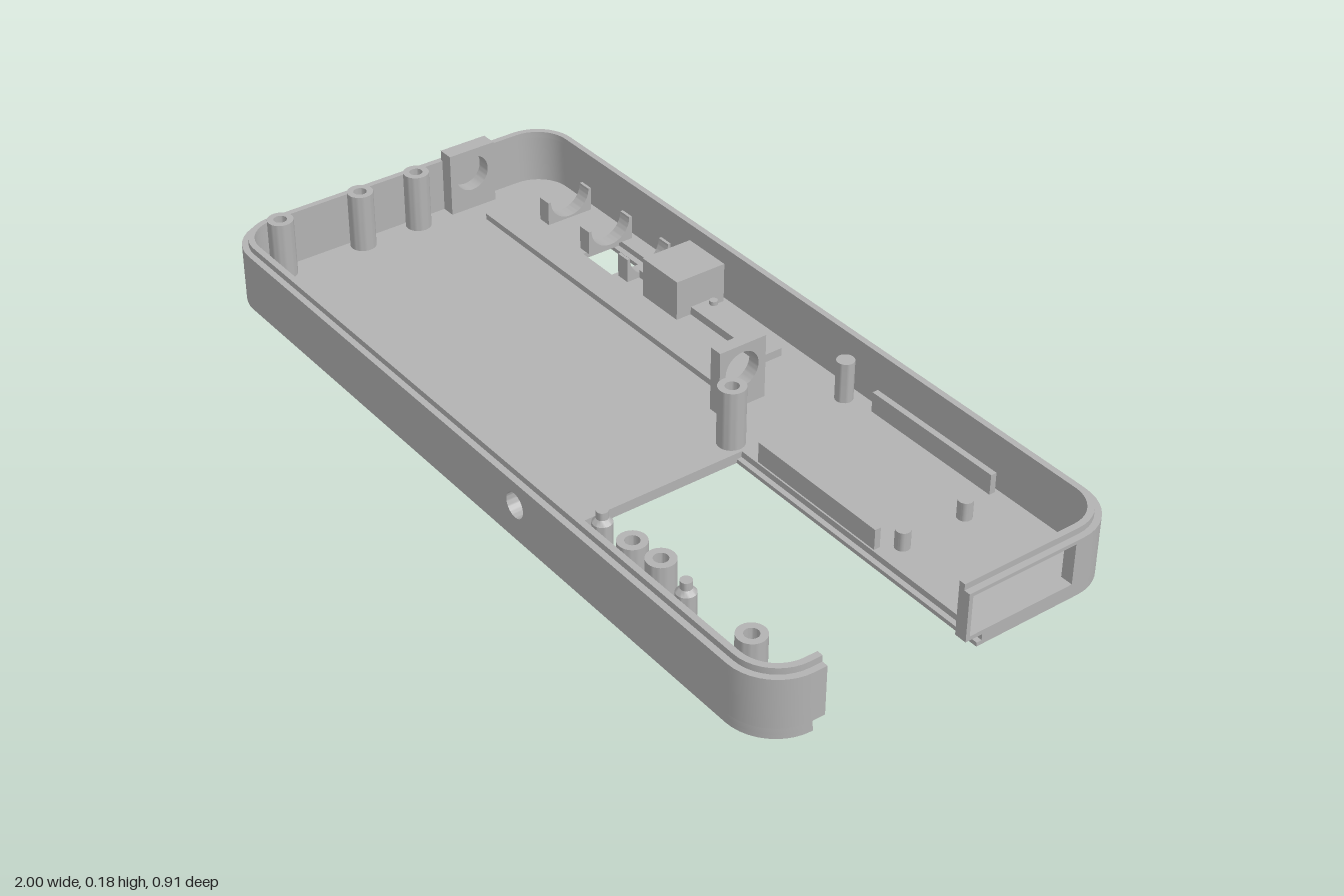
import * as THREE from 'three';
import { toCreasedNormals } from 'three/addons/utils/BufferGeometryUtils.js';

const HX = 1, HZ = 0.455, R = 0.115;      // outline half sizes and corner radius
const FLOOR = 0.025, WALL_TOP = 0.143, LIP_TOP = 0.158, WALL = 0.03;

export function createModel() {
  const group = new THREE.Group();
  const grey = new THREE.MeshStandardMaterial({ color: 0xb2b2b2 });
  grey.name = 'plainGrey';

  const add = (name, geometry, x = 0, y = 0, z = 0) => {
    const mesh = new THREE.Mesh(toCreasedNormals(geometry, 0.6), grey);
    mesh.name = name;
    mesh.position.set(x, y, z);
    group.add(mesh);
    return mesh;
  };
  const extrude = (shape, depth) =>
    new THREE.ExtrudeGeometry(shape, { depth, bevelEnabled: false, curveSegments: 24 });
  // shape coordinates (x, -z), raised along y
  const extrudeUp = (shape, y0, y1) => extrude(shape, y1 - y0).rotateX(-Math.PI / 2).translate(0, y0, 0);
  // shape coordinates (-z, y), pushed along x
  const extrudeSide = (shape, x0, x1) => extrude(shape, x1 - x0).rotateY(Math.PI / 2).translate(x0, 0, 0);

  const rect = (x0, y0, x1, y1, Type = THREE.Shape) => new Type([
    [x0, y0], [x1, y0], [x1, y1], [x0, y1]].map(p => new THREE.Vector2(...p)));
  const circle = (x, y, r) => new THREE.Path().absarc(x, y, r, 0, Math.PI * 2, true);
  const box = (name, x0, x1, y0, y1, z0, z1) =>
    add(name, new THREE.BoxGeometry(x1 - x0, y1 - y0, z1 - z0), (x0 + x1) / 2, (y0 + y1) / 2, (z0 + z1) / 2);

  // points along the rounded outline, passing the corners from..to (0 = back right, anticlockwise)
  const trace = (inset, start, from, to, end) => {
    const pts = [start], r = R - inset;
    for (let c = from; c <= to; c++) {
      const cx = (c === 0 || c === 3 ? 1 : -1) * (HX - R), cy = (c < 2 ? 1 : -1) * (HZ - R);
      for (let i = 0; i <= 10; i++) {
        const a = (c + i / 10) * Math.PI / 2;
        pts.push([cx + r * Math.cos(a), cy + r * Math.sin(a)]);
      }
    }
    return [...pts, end].map(p => new THREE.Vector2(...p));
  };
  const band = (i0, i1, start, from, to, end) => new THREE.Shape([
    ...trace(i0, start(i0), from, to, end(i0)),
    ...trace(i1, start(i1), from, to, end(i1)).reverse()]);
  const onRight = v => i => [HX - i, v];
  const onFront = x => i => [x, -(HZ - i)];

  // floor in two layers, with a stepped bay on the right and a recess below
  const floorShape = (back, front) => new THREE.Shape([
    ...trace(0, [HX, -back], 0, 3, [HX, -front]),
    new THREE.Vector2(0.25, -front), new THREE.Vector2(0.25, -back)]);
  const lower = floorShape(-0.07, 0.338);
  lower.holes.push(rect(-0.87, -0.35, 0.03, 0.365, THREE.Path));
  add('lowerFloor', extrudeUp(lower, 0, 0.01));
  const upper = floorShape(-0.083, 0.353);
  upper.holes.push(rect(-0.6, 0.275, -0.485, 0.38, THREE.Path));
  add('upperFloor', extrudeUp(upper, 0.01, FLOOR));

  // surrounding wall and inner lip
  add('mainWall', extrudeUp(band(0, WALL, onRight(0.335), 0, 2, onFront(0.1)), FLOOR, WALL_TOP));
  add('frontCornerWall', extrudeUp(band(0, WALL, onFront(0.28), 3, 3, onRight(-0.31)), FLOOR, WALL_TOP));
  add('lip', extrudeUp(band(0.015, WALL, onRight(0.04), 0, 3, onRight(-0.31)), WALL_TOP, LIP_TOP));

  // front wall piece with a round hole
  const holed = rect(0.1, FLOOR, 0.28, WALL_TOP);
  holed.holes.push(circle(0.19, 0.085, 0.03));
  add('frontHoleWall', extrude(holed, WALL), 0, 0, HZ - WALL);

  // right wall piece with a rectangular port
  const port = rect(0.04, FLOOR, 0.335, WALL_TOP);
  port.holes.push(rect(0.05, 0.035, 0.32, 0.134, THREE.Path));
  add('portWall', extrudeSide(port, HX - WALL, HX));

  // hollow screw posts
  const screwPost = (x, z, r, top) => add('screwPost', new THREE.LatheGeometry(
    [[r, FLOOR], [r, top], [r * 0.5, top], [r * 0.5, top - 0.06], [0, top - 0.06]]
      .map(p => new THREE.Vector2(...p)), 28), x, 0, z);
  for (const z of [-0.035, 0.12, 0.335]) screwPost(-0.945, z, 0.031, 0.17);
  screwPost(0.21, -0.085, 0.032, 0.17);
  for (const [x, top] of [[0.497, 0.155], [0.59, 0.17], [0.87, 0.17]]) screwPost(x, 0.385, 0.032, top);

  // stepped locating pins
  for (const x of [0.397, 0.67]) add('locatingPin', new THREE.LatheGeometry(
    [[0.022, FLOOR], [0.022, 0.14], [0.013, 0.15], [0.013, 0.168], [0, 0.168]]
      .map(p => new THREE.Vector2(...p)), 24), x, 0, 0.385);

  // plain pegs
  for (const [x, z, r, top] of [[0.225, -0.385, 0.021, 0.125], [0.7, -0.308, 0.017, 0.07],
    [0.7, -0.14, 0.017, 0.07], [-0.22, -0.37, 0.01, 0.055]])
    add('peg', new THREE.CylinderGeometry(r, r, top - FLOOR, 24), x, (FLOOR + top) / 2, z);

  // upright bearing plates with round holes
  for (const [x0, x1] of [[-0.975, -0.935], [0.085, 0.117]]) {
    const plate = rect(0.125, FLOOR, 0.25, 0.184);
    plate.holes.push(circle(0.186, 0.12, 0.045));
    add('bearingPlate', extrudeSide(plate, x0, x1));
  }

  // cradles with a scooped top
  for (const x of [-0.775, -0.608, -0.455]) {
    const cradle = new THREE.Shape();
    cradle.moveTo(0.285, FLOOR);
    cradle.lineTo(0.41, FLOOR);
    cradle.lineTo(0.41, 0.085);
    cradle.lineTo(0.4025, 0.085);
    cradle.absarc(0.3475, 0.085, 0.055, 0, Math.PI, true);
    cradle.lineTo(0.285, 0.085);
    add('cradle', extrudeSide(cradle, x - 0.018, x + 0.018));
  }

  // blocks, ridges and rails on the floor
  box('block', -0.37, -0.24, FLOOR, 0.125, -0.415, -0.28);
  box('slideRail', -0.24, 0.015, FLOOR, 0.045, -0.38, -0.32);
  box('slideRail', -0.437, -0.37, FLOOR, 0.045, -0.38, -0.32);
  box('longRidge', -0.87, 0.075, FLOOR, 0.04, -0.205, -0.18);
  box('boardRail', 0.3, 0.675, FLOOR, 0.075, -0.415, -0.4);
  box('boardRail', 0.3, 0.675, FLOOR, 0.075, -0.102, -0.087);

  return group;
}
